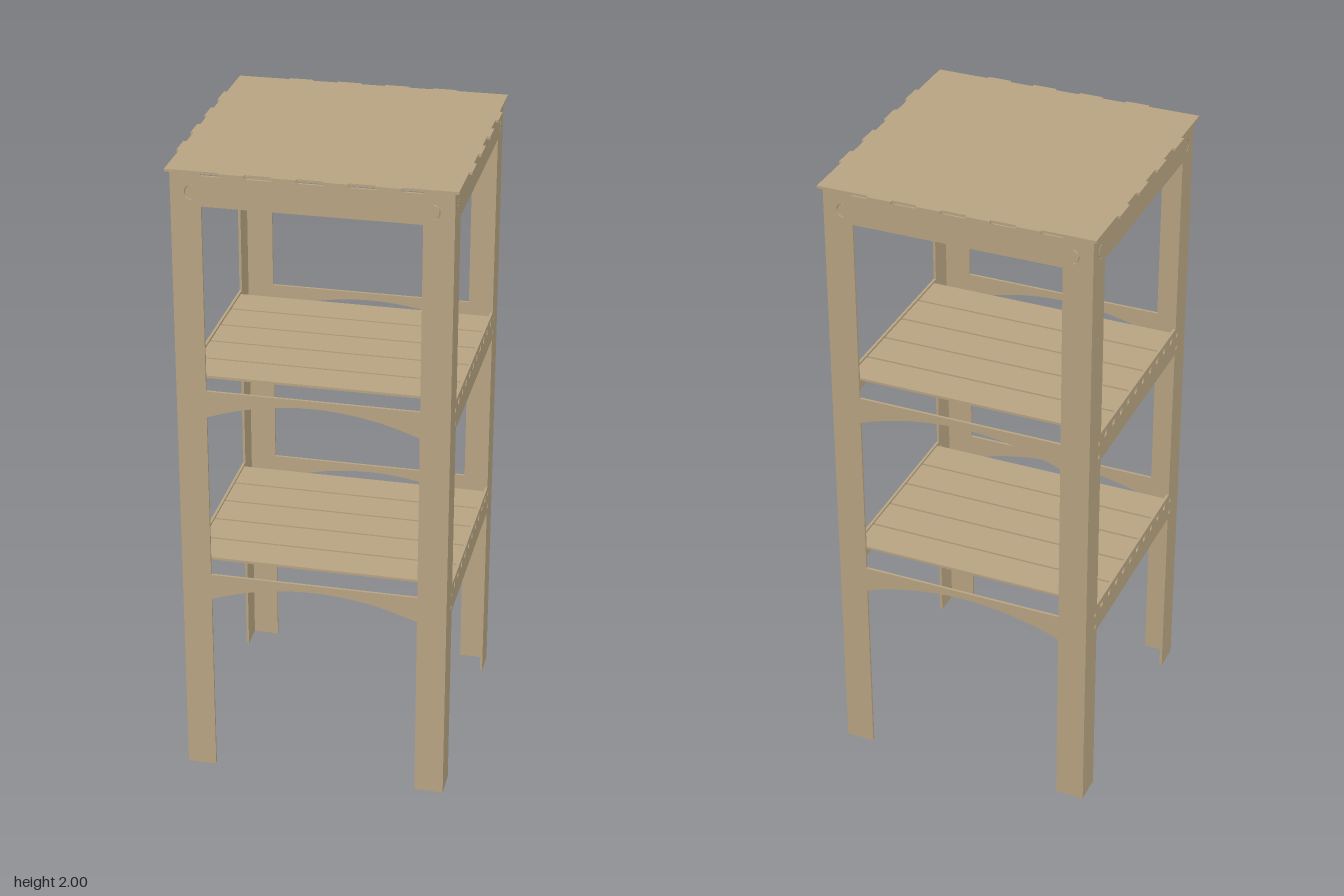
import * as THREE from 'three';

const T = 0.008;        // sheet thickness
const R = 0.41;         // half width over the legs
const INNER = 0.32;     // inner edge of the leg flanges
const SHELVES = [0.69, 1.31];
const TABS = [-0.225, -0.075, 0.075, 0.225];

const wood = new THREE.MeshStandardMaterial({ color: 0xb9a583 });
wood.name = 'tan sheet';

const polygon = (pts) => new THREE.Shape(pts.map(([x, y]) => new THREE.Vector2(x, y)));
const rect = (x0, y0, x1, y1) => polygon([[x0, y0], [x1, y0], [x1, y1], [x0, y1]]);

// A sheet cut from a shape, its outer face on z = R
function sheet(name, shape) {
  const geo = new THREE.ExtrudeGeometry(shape, { depth: T, bevelEnabled: false, curveSegments: 16 });
  geo.translate(0, 0, R - T);
  const mesh = new THREE.Mesh(geo, wood);
  mesh.name = name;
  return mesh;
}

// One flange of an angled leg, with a curved joint slit and small fixing holes
function legFlange(s, perforated) {
  const outer = s < 0 ? R : R - T;
  const shape = rect(Math.min(s * INNER, s * outer), 0, Math.max(s * INNER, s * outer), 1.99);
  const cx = s * 0.346, cy = 1.93, slit = new THREE.Path();
  const mid = s < 0 ? Math.PI : 0, a = 1.5;
  slit.absarc(cx, cy, 0.023, mid - a, mid + a, false);
  slit.absarc(cx, cy, 0.02, mid + a, mid - a, true);
  shape.holes.push(slit);
  if (perforated) {
    for (const y of SHELVES) {
      for (const dy of [-0.02, -0.065]) {
        const x = s * 0.333;
        shape.holes.push(rect(x - 0.006, y + dy - 0.006, x + 0.006, y + dy + 0.006));
      }
    }
  }
  return sheet('legFlange', shape);
}

// Top rail with four tabs reaching up to the table top
function topRail() {
  const pts = [[-INNER, 1.89], [INNER, 1.89], [INNER, 1.982]];
  for (const t of [...TABS].reverse()) {
    pts.push([t + 0.037, 1.982], [t + 0.037, 1.992], [t - 0.037, 1.992], [t - 0.037, 1.982]);
  }
  pts.push([-INNER, 1.982]);
  return sheet('topRail', polygon(pts));
}

// Arched rail for the front and back
function archedRail(y) {
  const shape = new THREE.Shape();
  shape.moveTo(-INNER, y);
  shape.lineTo(-INNER, y - 0.085);
  shape.quadraticCurveTo(0, y + 0.037, INNER, y - 0.085);
  shape.lineTo(INNER, y);
  return sheet('archedRail', shape);
}

// Side rail with a row of ten slots
function slottedRail(y) {
  const shape = rect(-INNER, y - 0.085, INNER, y + 0.008);
  for (let i = 0; i < 10; i++) {
    const x = (i - 4.5) * 0.062;
    shape.holes.push(rect(x - 0.01, y - 0.023, x + 0.01, y - 0.007));
  }
  return sheet('slottedRail', shape);
}

// Table top outline with four small tabs on each edge
function tableTop() {
  const pts = [], h = 0.422, e = 0.431;
  for (let k = 0; k < 4; k++) {
    const c = Math.round(Math.cos(k * Math.PI / 2)), s = Math.round(Math.sin(k * Math.PI / 2));
    const add = (u, v) => pts.push([u * c - v * s, u * s + v * c]);
    add(-h, -h);
    for (const t of TABS) {
      add(t - 0.037, -h); add(t - 0.037, -e); add(t + 0.037, -e); add(t + 0.037, -h);
    }
  }
  const geo = new THREE.ExtrudeGeometry(polygon(pts), { depth: T, bevelEnabled: false });
  geo.rotateX(-Math.PI / 2).translate(0, 2 - T, 0);
  const mesh = new THREE.Mesh(geo, wood);
  mesh.name = 'tableTop';
  return mesh;
}

export function createModel() {
  const model = new THREE.Group();
  model.name = 'shelfTable';
  model.add(tableTop());

  // Four sides: front, left, back, right
  ['front', 'left', 'back', 'right'].forEach((label, k) => {
    const side = new THREE.Group();
    side.name = label + 'Side';
    const slotted = k % 2 === 1;
    side.add(legFlange(-1, slotted), legFlange(1, slotted), topRail());
    for (const y of SHELVES) side.add(slotted ? slottedRail(y) : archedRail(y));
    side.rotation.y = k * Math.PI / 2;
    model.add(side);
  });

  // Shelves of five slats running from side to side
  for (const y of SHELVES) {
    const shelf = new THREE.Group();
    shelf.name = 'shelf';
    for (let i = 0; i < 5; i++) {
      const slat = new THREE.Mesh(new THREE.BoxGeometry(2 * (R - T), T, 0.116), wood);
      slat.name = 'slat';
      slat.position.set(0, y - T / 2 + 0.001, (i - 2) * 0.124);
      shelf.add(slat);
    }
    model.add(shelf);
  }
  return model;
}
